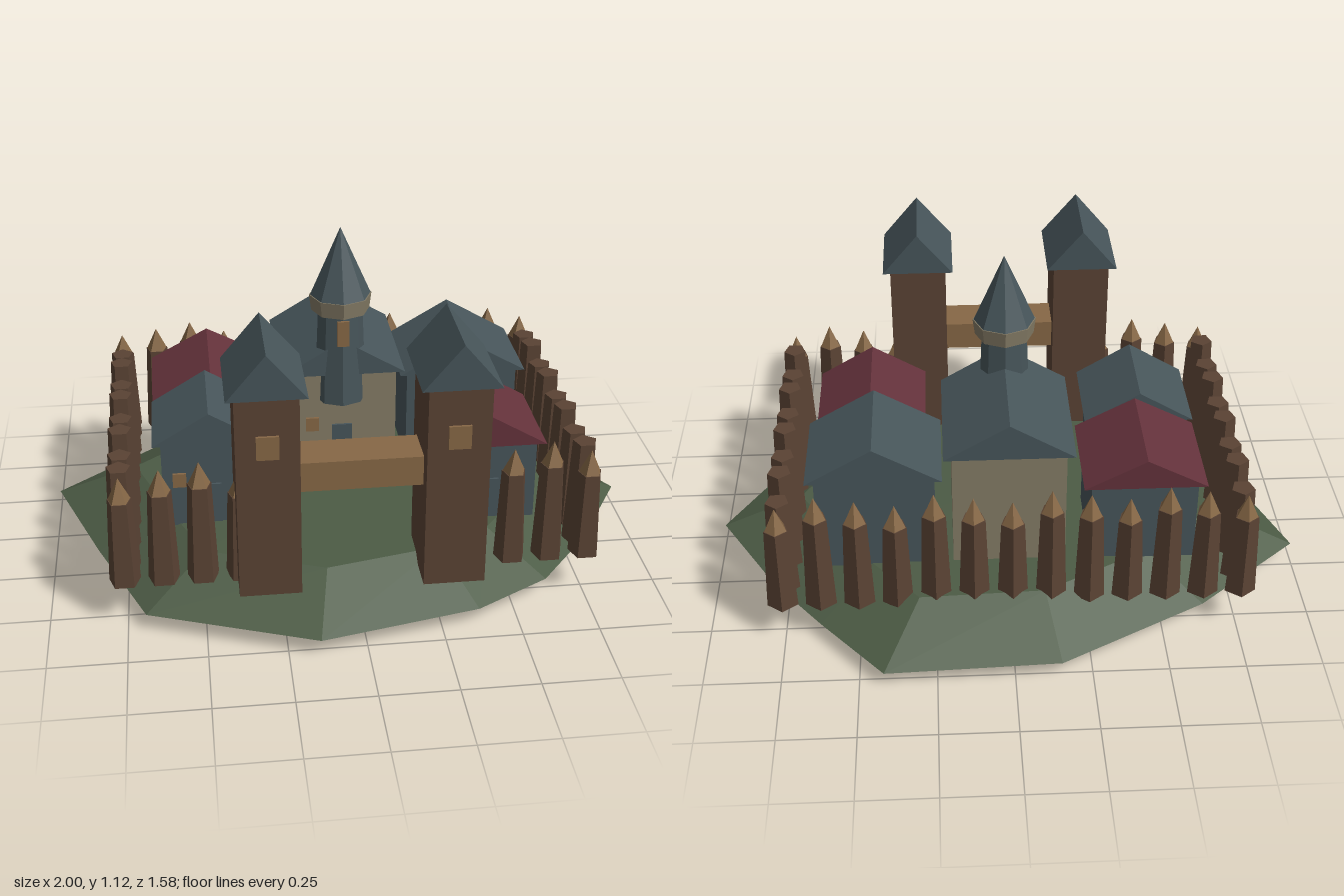
import * as THREE from 'three';

const mat = (name, color) => {
  const m = new THREE.MeshStandardMaterial({ color, flatShading: true });
  m.name = name;
  return m;
};

export function createModel() {
  const root = new THREE.Group();
  root.name = 'palisadeFort';
  const grass = mat('grass', 0x4c5b45);
  const slate = mat('slate', 0x47555a);
  const red = mat('redRoof', 0x64323b);
  const wood = mat('darkWood', 0x5a4334);
  const plank = mat('lightWood', 0x876846);
  const stone = mat('paleStone', 0x857c66);

  const add = (parent, name, geo, material, x = 0, y = 0, z = 0) => {
    const m = new THREE.Mesh(geo, material);
    m.name = name;
    m.position.set(x, y, z);
    parent.add(m);
    return m;
  };
  // Box given by its limits on each axis
  const box = (parent, name, material, x0, x1, y0, y1, z0, z1) =>
    add(parent, name, new THREE.BoxGeometry(x1 - x0, y1 - y0, z1 - z0), material,
      (x0 + x1) / 2, (y0 + y1) / 2, (z0 + z1) / 2);
  // Gable roof with its ridge along z
  const gable = (parent, name, material, x0, x1, eave, ridge, z0, z1) => {
    const s = new THREE.Shape();
    s.moveTo(x0, eave);
    s.lineTo(x1, eave);
    s.lineTo((x0 + x1) / 2, ridge);
    s.closePath();
    const g = new THREE.ExtrudeGeometry(s, { depth: z1 - z0, bevelEnabled: false });
    return add(parent, name, g, material, 0, 0, z0);
  };

  // Mound: one irregular outline scaled through several levels
  const outline = [[-0.15, 0.79], [0.37, 0.68], [0.62, 0.54], [0.81, 0.31], [1, -0.01], [0.8, -0.34],
    [0.63, -0.55], [0.42, -0.79], [-0.15, -0.77], [-0.64, -0.51], [-1, -0.21], [-0.85, 0.2], [-0.69, 0.59]];
  const levels = [[0, 0], [0.83, 0], [1, 0.06], [0.72, 0.18], [0, 0.19]];
  const pos = [];
  const at = (i, l) => {
    const [x, z] = outline[i % outline.length];
    return [x * levels[l][0], levels[l][1], z * levels[l][0]];
  };
  for (let l = 0; l < levels.length - 1; l++) {
    for (let i = 0; i < outline.length; i++) {
      if (levels[l][0] > 0) pos.push(...at(i, l), ...at(i + 1, l), ...at(i + 1, l + 1));
      if (levels[l + 1][0] > 0) pos.push(...at(i, l), ...at(i + 1, l + 1), ...at(i, l + 1));
    }
  }
  // Fans at both ends need the triangle that keeps the centre point
  for (let i = 0; i < outline.length; i++) pos.push(...at(i, 0), ...at(i + 1, 1), ...at(i, 1));
  const moundGeo = new THREE.BufferGeometry();
  moundGeo.setAttribute('position', new THREE.Float32BufferAttribute(pos, 3));
  moundGeo.computeVertexNormals();
  add(root, 'mound', moundGeo, grass);

  // Palisade posts: five-sided, tapering, some with a pale pointed tip
  const palisade = new THREE.Group();
  palisade.name = 'palisade';
  root.add(palisade);
  const post = (x, z, top, tipped) => {
    const bodyTop = tipped ? top - 0.08 : top;
    const h = bodyTop - 0.145;
    const body = add(palisade, 'post', new THREE.CylinderGeometry(0.04, 0.053, h, 5), wood, x, 0.145 + h / 2, z);
    body.rotation.y = Math.PI;
    if (tipped) {
      const tip = add(palisade, 'postTip', new THREE.ConeGeometry(0.037, 0.08, 5), plank, x, bodyTop + 0.04, z);
      tip.rotation.y = Math.PI;
    }
  };
  for (let i = 0; i < 13; i++) {
    const x = -0.752 + i * 0.125;
    const top = 0.525 + (i % 3) * 0.02;
    post(x, -0.527, top, true);
    if (i < 4 || i > 8) post(x, 0.515, top, true);
  }
  for (let i = 0; i < 8; i++) {
    const z = 0.435 - i * 0.125;
    for (const x of [-0.752, 0.748]) post(x, z, i % 2 ? 0.49 : 0.515, false);
  }

  // Gatehouse: twin towers joined by a walkway
  const gate = new THREE.Group();
  gate.name = 'gatehouse';
  root.add(gate);
  for (const x of [-0.295, 0.287]) {
    box(gate, 'gateTower', wood, x - 0.098, x + 0.098, 0.155, 0.855, 0.41, 0.66);
    gable(gate, 'gateTowerRoof', slate, x - 0.123, x + 0.123, 0.853, 1.0, 0.38, 0.685);
    box(gate, 'gateTowerWindow', plank, x - 0.035, x + 0.035, 0.645, 0.723, 0.66, 0.669);
  }
  box(gate, 'walkway', plank, -0.2, 0.19, 0.49, 0.59, 0.465, 0.605);

  // Houses: walls inset beneath a gable roof, with a door and a window at the front
  const house = (name, wallMat, roofMat, x0, x1, z0, z1, eave, ridge, doorTop, winY) => {
    const g = new THREE.Group();
    g.name = name;
    root.add(g);
    const c = (x0 + x1) / 2;
    const front = z1 - 0.025;
    box(g, 'walls', wallMat, x0 + 0.027, x1 - 0.027, 0.175, eave + 0.002, z0 + 0.025, front);
    gable(g, 'roof', roofMat, x0, x1, eave, ridge, z0, z1);
    box(g, 'door', slate, c - 0.035, c + 0.035, 0.185, doorTop, front, front + 0.008);
    box(g, 'window', plank, c - 0.125, c - 0.08, winY, winY + 0.05, front, front + 0.009);
  };
  house('greatHall', stone, slate, -0.212, 0.215, -0.415, 0.06, 0.61, 0.737, 0.41, 0.39);
  house('backLeftHouse', slate, slate, 0.22, 0.662, -0.415, -0.065, 0.53, 0.658, 0.36, 0.36);
  house('frontLeftHouse', slate, red, 0.272, 0.646, -0.007, 0.35, 0.463, 0.573, 0.33, 0.325);
  house('backRightHouse', slate, red, -0.645, -0.24, -0.417, -0.05, 0.48, 0.587, 0.34, 0.34);
  house('frontRightHouse', slate, slate, -0.648, -0.275, -0.047, 0.275, 0.49, 0.602, 0.33, 0.325);

  // Eight-sided turret over the hall front
  const turret = new THREE.Group();
  turret.name = 'turret';
  root.add(turret);
  add(turret, 'turretBody', new THREE.CylinderGeometry(0.075, 0.088, 0.33, 8), slate, 0, 0.67, 0);
  add(turret, 'turretGallery', new THREE.CylinderGeometry(0.105, 0.098, 0.055, 8), stone, 0, 0.858, 0);
  add(turret, 'turretSpire', new THREE.ConeGeometry(0.102, 0.235, 8), slate, 0, 1.002, 0);
  box(turret, 'turretWindow', plank, -0.02, 0.02, 0.73, 0.82, 0.083, 0.092);

  return root;
}
